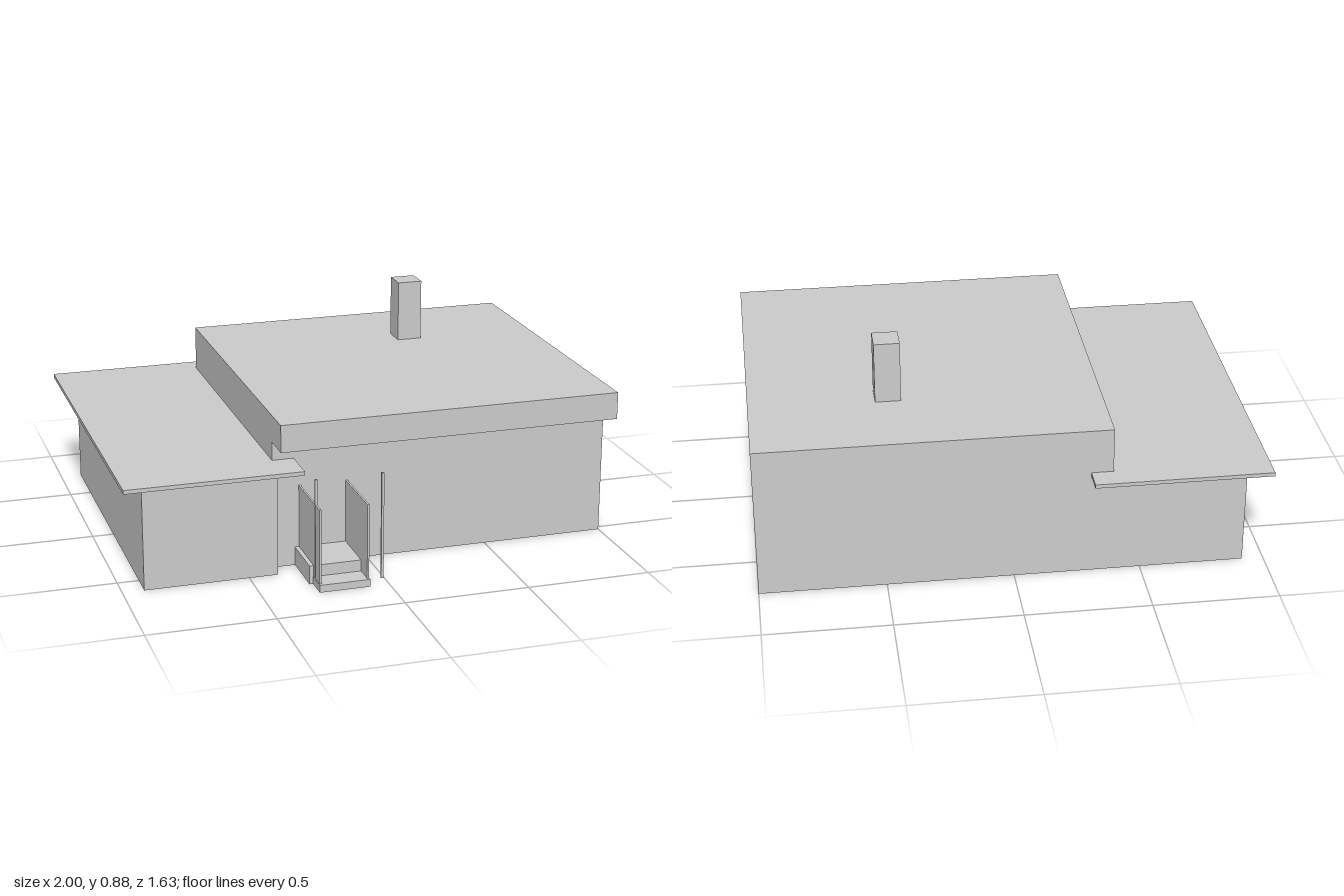
import * as THREE from 'three';

export function createModel() {
  const house = new THREE.Group();
  house.name = 'house';

  const plaster = new THREE.MeshStandardMaterial({ color: 0xcccccc });
  plaster.name = 'light grey';

  // Box given by its extents along each axis
  function block(name, [x0, x1], [y0, y1], [z0, z1], parent = house) {
    const mesh = new THREE.Mesh(new THREE.BoxGeometry(x1 - x0, y1 - y0, z1 - z0), plaster);
    mesh.name = name;
    mesh.position.set((x0 + x1) / 2, (y0 + y1) / 2, (z0 + z1) / 2);
    parent.add(mesh);
    return mesh;
  }

  // Main house with a roof overhanging the front
  block('mainWalls', [-0.385, 1], [0, 0.52], [-0.725, 0.525]);
  block('mainRoof', [-0.385, 1], [0.52, 0.63], [-0.725, 0.655]);
  block('chimney', [0.402, 0.504], [0.63, 0.882], [-0.391, -0.289]);

  // Lower side wing with a thin overhanging slab
  block('wingWalls', [-0.915, -0.385], [0, 0.43], [-0.725, 0.6]);
  block('wingRoof', [-1, -0.298], [0.43, 0.446], [-0.816, 0.682]);

  // Entrance steps, side panels and slim posts
  const entrance = new THREE.Group();
  entrance.name = 'entrance';
  house.add(entrance);
  block('upperStep', [-0.295, -0.065], [0, 0.076], [0.525, 0.727], entrance);
  block('lowerStep', [-0.28, -0.078], [0, 0.03], [0.727, 0.816], entrance);
  for (const x of [-0.274, -0.083]) {
    block('sidePanel', [x - 0.004, x + 0.004], [0, 0.332], [0.525, 0.803], entrance);
  }
  for (const x of [-0.274, -0.008]) {
    block('post', [x - 0.005, x + 0.005], [0, 0.434], [0.741, 0.751], entrance);
  }

  return house;
}
